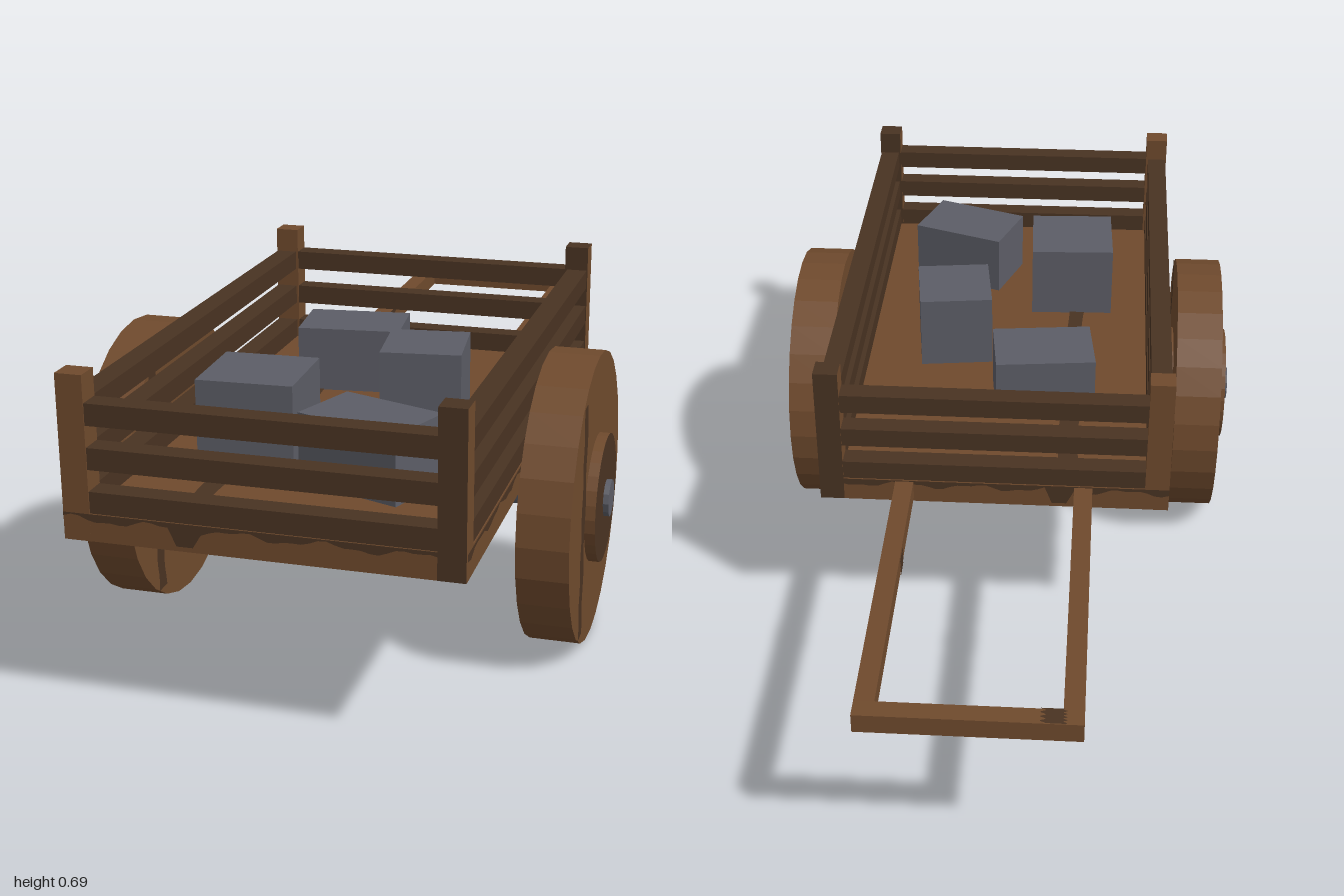
import * as THREE from 'three';

const mat = (name, color) => {
  const m = new THREE.MeshStandardMaterial({ color });
  m.name = name;
  return m;
};

export function createModel() {
  const cart = new THREE.Group();
  cart.name = 'handcart';
  const wood = mat('wood', 0x6f4a2d);
  const darkWood = mat('darkWood', 0x493322);
  const stone = mat('stone', 0x5c5d66);

  const add = (name, geo, material, x = 0, y = 0, z = 0) => {
    const mesh = new THREE.Mesh(geo, material);
    mesh.name = name;
    mesh.position.set(x, y, z);
    cart.add(mesh);
    return mesh;
  };
  // Box given by its lower and upper corners
  const box = (name, material, x0, y0, z0, x1, y1, z1) =>
    add(name, new THREE.BoxGeometry(x1 - x0, y1 - y0, z1 - z0), material,
      (x0 + x1) / 2, (y0 + y1) / 2, (z0 + z1) / 2);
  // Faceted cylinder lying along x
  const drum = (name, material, r, length, sides, x, y, z) => {
    const geo = new THREE.CylinderGeometry(r, r, length, sides).rotateZ(-Math.PI / 2).toNonIndexed();
    geo.computeVertexNormals();
    return add(name, geo, material, x, y, z);
  };
  // Thin grain streak with wavy edges, running along y and facing +z
  const streak = (width, length) => {
    const n = 24, left = [], right = [];
    for (let i = 0; i <= n; i++) {
      const y = (i / n - 0.5) * length;
      const sway = width * 0.1 * Math.sin(i * 1.3);
      left.push(new THREE.Vector2(-width / 2 + sway, y));
      right.push(new THREE.Vector2(width / 2 + width * 0.13 * Math.sin(i * 0.9 + 2), y));
    }
    return new THREE.ShapeGeometry(new THREE.Shape([...right, ...left.reverse()]));
  };
  // Dark wavy band hanging from the top of a bed edge, facing +z
  const waveBand = (length, dipAt) => {
    const n = 48, points = [];
    for (let i = 0; i <= n; i++) {
      const x = (i / n - 0.5) * length;
      const dip = Math.abs(x - dipAt) < 0.025 ? 0.045 : 0;
      points.push(new THREE.Vector2(x, -Math.max(dip, 0.011 + 0.006 * Math.sin(x * 38) + 0.003 * Math.sin(x * 91))));
    }
    points.push(new THREE.Vector2(length / 2, 0), new THREE.Vector2(-length / 2, 0));
    return new THREE.ShapeGeometry(new THREE.Shape(points));
  };

  // Bed and its grain
  const X = 0.385, Z0 = -0.26, Z1 = 1, ZM = (Z0 + Z1) / 2, L = Z1 - Z0, T = 0.05;
  const bedTop = 0.425;
  box('bed', wood, -X, 0.37, Z0, X, bedTop, Z1);
  add('bedGrainTop', streak(0.042, L - 0.01).rotateX(-Math.PI / 2), darkWood, -0.16, bedTop + 0.002, ZM);
  add('bedGrainBottom', streak(0.042, L - 0.01).rotateX(Math.PI / 2), darkWood, -0.16, 0.368, ZM);
  add('bedEdgeFront', waveBand(2 * X, -0.15), darkWood, 0, bedTop, Z1 + 0.002);
  add('bedEdgeBack', waveBand(2 * X, 0.15).rotateY(Math.PI), darkWood, 0, bedTop, Z0 - 0.002);
  for (const s of [-1, 1]) {
    add('bedEdgeSide', waveBand(L, s * 0.37).rotateY(s * Math.PI / 2), darkWood, s * (X + 0.002), bedTop, ZM);
  }

  // Slatted walls
  for (const y of [bedTop, 0.511, 0.597]) {
    const top = y + 0.043;
    for (const s of [-1, 1]) {
      const x = s * (X - T / 2);
      box('sideSlat', darkWood, x - T / 2 + 0.002, y, Z0 + T, x + T / 2 - 0.002, top, Z1 - T);
    }
    for (const z of [Z0 + T / 2, Z1 - T / 2]) {
      box('endSlat', darkWood, -X + T, y, z - T / 2 + 0.002, X - T, top, z + T / 2 - 0.002);
    }
  }

  // Corner posts; those on the left have dark ends and tops
  const leftPost = [wood, wood, darkWood, wood, darkWood, darkWood];
  for (const s of [-1, 1]) {
    for (const z of [Z0, Z1 - T]) {
      const x = s * (X - 0.0265);
      box('cornerPost', s > 0 ? leftPost : wood, x - 0.0265, 0.37, z, x + 0.0265, 0.694, z + T)
        .scale.set(1.003, 1.001, 1.005);
    }
  }

  // Pull handle
  for (const s of [-1, 1]) {
    const x = s * 0.197;
    box('handleRail', wood, x - 0.02, 0.381, -0.96, x + 0.02, 0.423, Z0);
    for (const f of [-1, 1]) {
      add('handleGrain', streak(0.045, 0.042).rotateY(f * Math.PI / 2), darkWood, x + f * 0.022, 0.402, -0.515);
    }
  }
  box('handleBar', wood, -0.217, 0.381, -1, 0.217, 0.423, -0.96);
  add('handleBarGrain', streak(0.042, 0.04).rotateX(-Math.PI / 2), darkWood, -0.16, 0.425, -0.98);

  // Axle and wheels
  const cy = 0.307, cz = 0.37, R = 0.306;
  drum('axle', stone, 0.031, 0.76, 12, 0, cy, cz);
  for (const s of [-1, 1]) {
    drum('wheel', wood, R, 0.106, 28, s * 0.458, cy, cz);
    drum('hub', [wood, darkWood, darkWood], 0.135, 0.148, 28, s * 0.459, cy, cz);
    drum('axleEnd', stone, 0.039, 0.165, 12, s * 0.462, cy, cz);
    for (const f of [-1, 1]) {
      add('wheelGrain', streak(0.038, 0.5).rotateY(f * Math.PI / 2), darkWood,
        s * 0.458 + f * 0.055, cy, cz + 0.158);
    }
  }

  // Stone blocks: x, z, width, depth, top, turn
  const blocks = [
    [-0.093, 0.095, 0.228, 0.16, 0.567, 0.11],
    [0.132, 0.32, 0.171, 0.176, 0.598, 0.125],
    [-0.145, 0.59, 0.2, 0.196, 0.598, 0.04],
    [0.124, 0.706, 0.231, 0.157, 0.567, -0.35],
  ];
  for (const [x, z, w, d, top, turn] of blocks) {
    box('stoneBlock', stone, x - w / 2, bedTop, z - d / 2, x + w / 2, top, z + d / 2).rotation.y = turn;
  }
  return cart;
}
